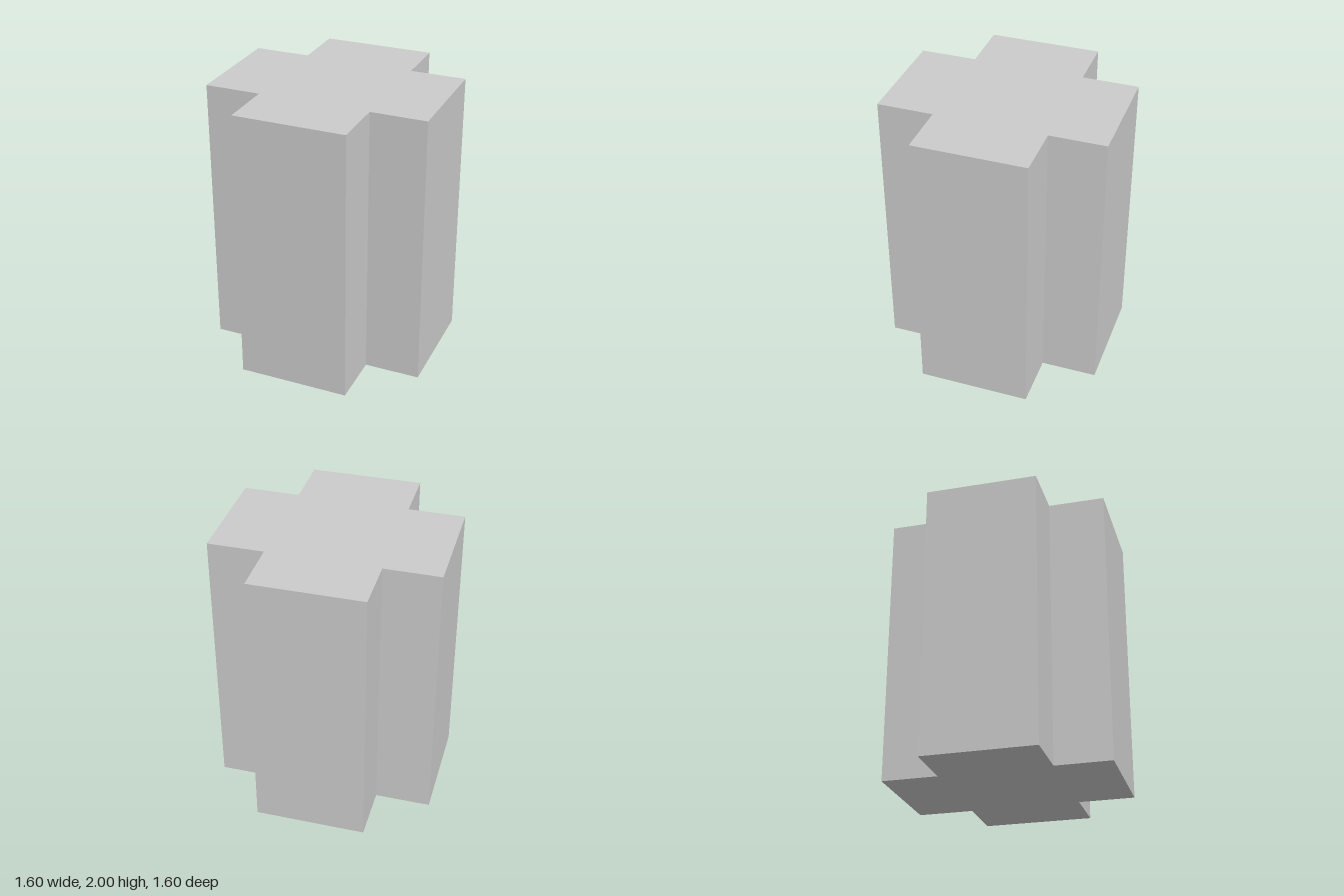
import * as THREE from 'three';

const HEIGHT = 2;
const REACH = 0.8; // centre to the end of an arm
const HALF = 0.4;  // half the width of an arm

// Plus-shaped outline: the same three corners turned through four quarters
function crossShape() {
  const points = [];
  for (let i = 0; i < 4; i++) {
    const c = [1, 0, -1, 0][i], s = [0, 1, 0, -1][i];
    for (const [x, y] of [[REACH, -HALF], [REACH, HALF], [HALF, HALF]]) {
      points.push(new THREE.Vector2(x * c - y * s, x * s + y * c));
    }
  }
  return new THREE.Shape(points);
}

export function createModel() {
  const group = new THREE.Group();
  group.name = 'crossPrism';

  // Upright column with a plus-shaped section
  const geometry = new THREE.ExtrudeGeometry(crossShape(), { depth: HEIGHT, bevelEnabled: false });
  geometry.rotateX(-Math.PI / 2);
  const material = new THREE.MeshStandardMaterial({ color: 0xcccccc, flatShading: true });
  const column = new THREE.Mesh(geometry, material);
  column.name = 'crossColumn';
  group.add(column);

  return group;
}
